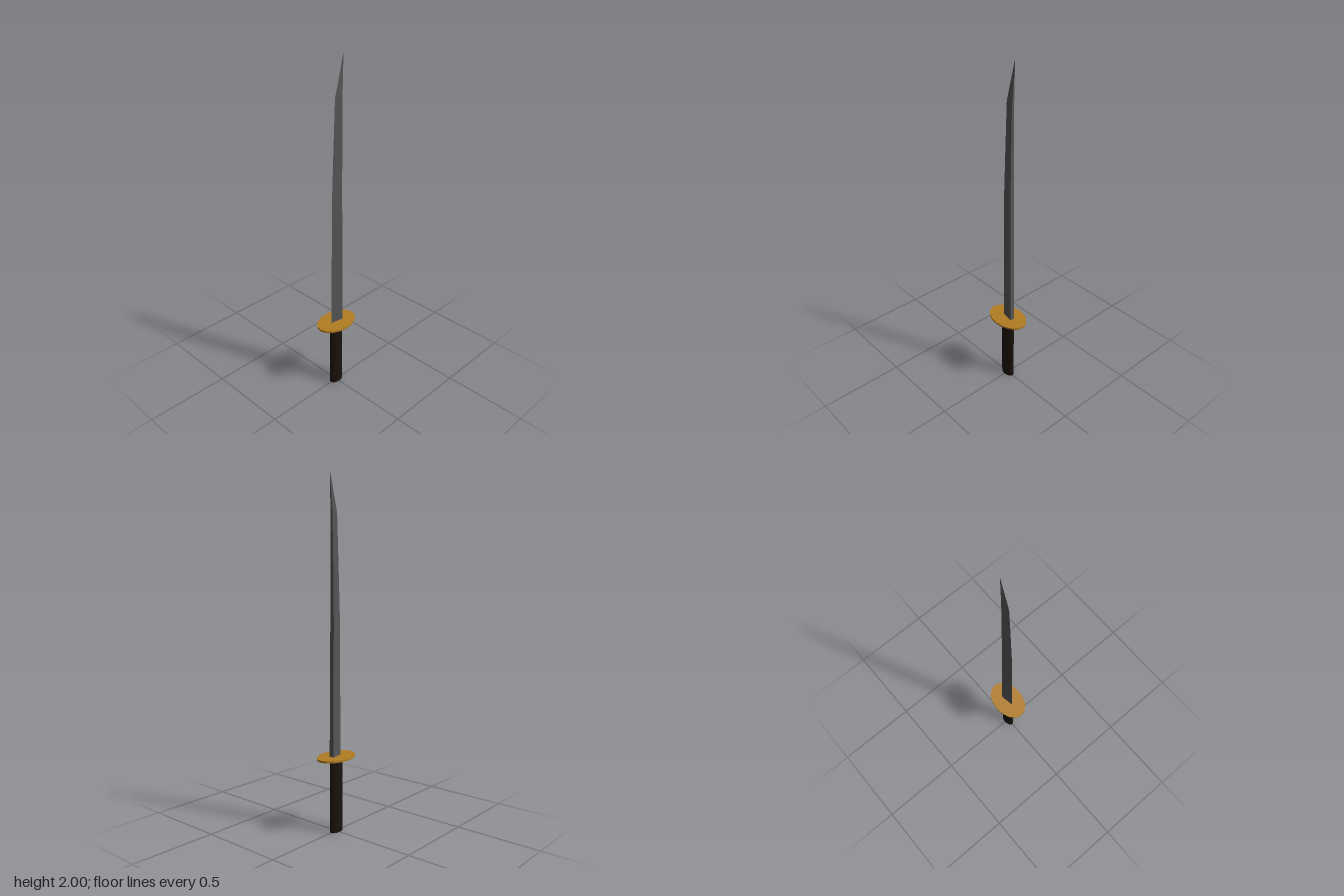
import * as THREE from 'three';

function ovalCylinder(name, rx, rz, y0, y1, color, flatShading) {
  const geometry = new THREE.CylinderGeometry(1, 1, y1 - y0, 16);
  geometry.rotateY(Math.PI / 2);
  geometry.scale(rx, 1, rz);
  geometry.translate(0, (y0 + y1) / 2, 0);
  const mesh = new THREE.Mesh(geometry, new THREE.MeshStandardMaterial({ color, flatShading }));
  mesh.name = name;
  return mesh;
}

// Wedge blade: sharp edge towards -x, flat spine towards +x, lofted up to a point
function createBlade() {
  // [height, edge x, spine x, half thickness of spine]
  const sections = [
    [0.43, -0.037, 0.039, 0.014],
    [0.8, -0.035, 0.037, 0.0135],
    [1.2, -0.032, 0.034, 0.0125],
    [1.5, -0.02, 0.035, 0.01],
    [1.78, -0.008, 0.038, 0.007],
  ];
  const rings = sections.map(([y, edge, spine, t]) => [[edge, y, 0], [spine, y, t], [spine, y, -t]]);
  const tip = [0.051, 2, 0];
  const positions = [];
  const tri = (a, b, c) => positions.push(...a, ...b, ...c);

  for (let i = 0; i < rings.length; i++) {
    for (let j = 0; j < 3; j++) {
      const k = (j + 1) % 3;
      const [a, b] = [rings[i][j], rings[i][k]];
      if (i === rings.length - 1) {
        tri(a, b, tip);
      } else {
        tri(a, b, rings[i + 1][k]);
        tri(a, rings[i + 1][k], rings[i + 1][j]);
      }
    }
  }
  tri(rings[0][0], rings[0][2], rings[0][1]);

  const geometry = new THREE.BufferGeometry();
  geometry.setAttribute('position', new THREE.Float32BufferAttribute(positions, 3));
  geometry.computeVertexNormals();
  const mesh = new THREE.Mesh(geometry, new THREE.MeshStandardMaterial({ color: 0x555555, flatShading: true }));
  mesh.name = 'blade';
  return mesh;
}

export function createModel() {
  const sword = new THREE.Group();
  sword.name = 'sword';
  sword.add(
    ovalCylinder('handle', 0.045, 0.027, 0, 0.432, 0x1a120c, false),
    ovalCylinder('guard', 0.13, 0.089, 0.43, 0.441, 0xb07c22, true),
    createBlade(),
  );
  return sword;
}
